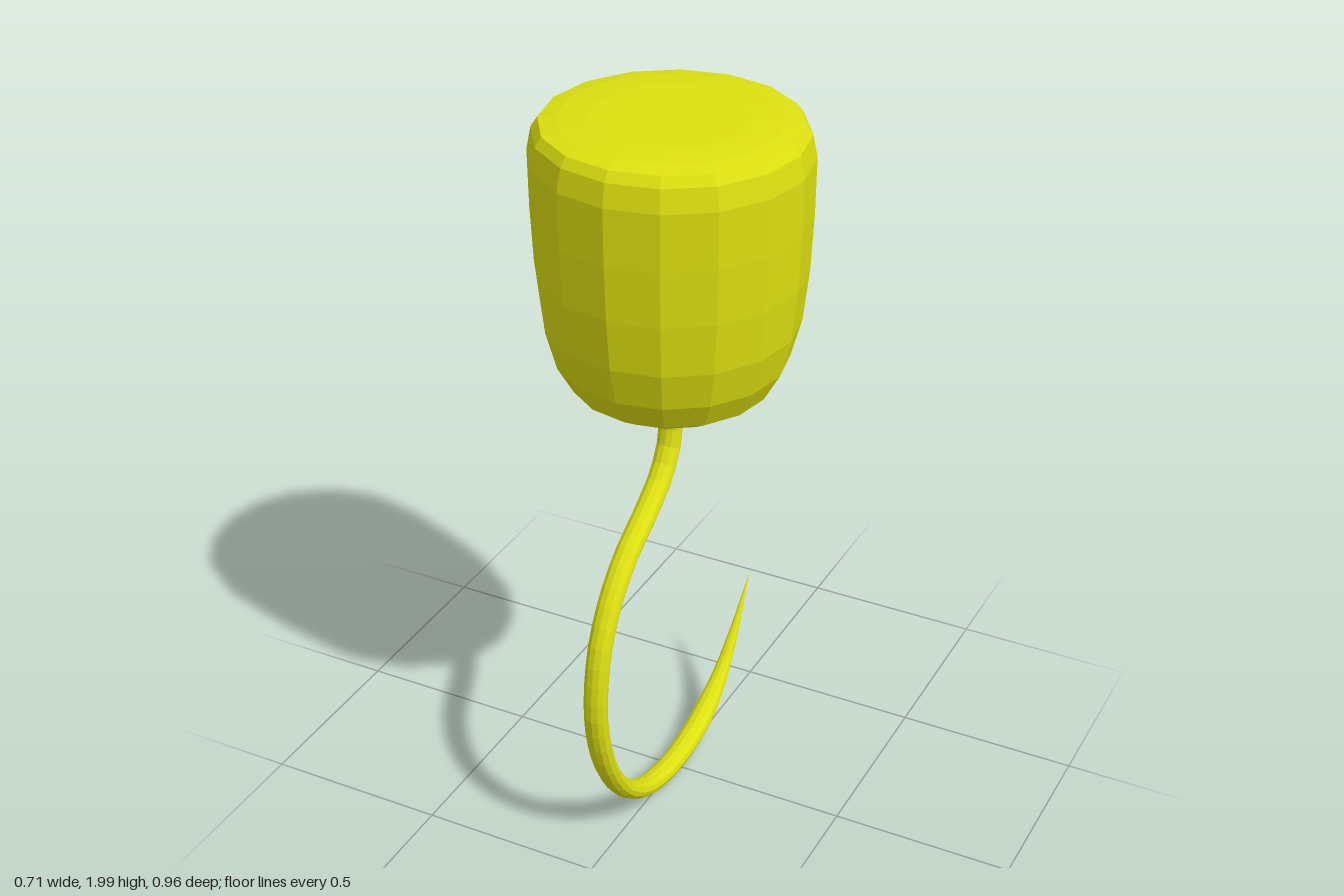
import * as THREE from 'three';

const material = new THREE.MeshStandardMaterial({ color: 0xdde010, flatShading: true });
const CENTRE_Z = 0.02;

// Faceted cup: closed, with a bevelled rim and slightly domed lid
function makeCup() {
  const profile = [
    [0, 1.23], [0.1, 1.23], [0.2, 1.242], [0.26, 1.28], [0.302, 1.355], [0.33, 1.46],
    [0.345, 1.6], [0.352, 1.75], [0.354, 1.9], [0.342, 1.96],
    [0.325, 1.985], [0.28, 1.993], [0.2, 1.998], [0, 2],
  ].map(([r, y]) => new THREE.Vector2(r, y));
  const cup = new THREE.Mesh(new THREE.LatheGeometry(profile, 16), material);
  cup.name = 'cup';
  cup.position.z = CENTRE_Z;
  return cup;
}

// Hook: a tube along a curve in the yz plane, flared at the cup and tapered to a point
function makeHook() {
  const path = [
    [0.022, 1.238], [0.024, 1.18], [0.032, 1.1], [0.08, 1.02], [0.165, 0.955], [0.285, 0.88],
    [0.375, 0.785], [0.432, 0.67], [0.456, 0.5], [0.434, 0.365], [0.385, 0.25],
    [0.305, 0.145], [0.19, 0.067], [0.03, 0.033], [-0.135, 0.053], [-0.275, 0.125],
    [-0.375, 0.228], [-0.482, 0.38],
  ].map(([z, y]) => new THREE.Vector3(0, y, z));
  const curve = new THREE.CatmullRomCurve3(path);
  const steps = 44, sides = 12;
  const geometry = new THREE.TubeGeometry(curve, steps, 1, sides);
  const pos = geometry.attributes.position;
  const p = new THREE.Vector3();
  for (let i = 0; i <= steps; i++) {
    const u = i / steps;
    const centre = curve.getPointAt(u);
    const size = i === 0 ? 1.5 : Math.min(1, (1 - u) / 0.19);
    for (let j = 0; j <= sides; j++) {
      const k = i * (sides + 1) + j;
      p.fromBufferAttribute(pos, k).sub(centre);
      p.set(p.x * 0.033, p.y * 0.026, p.z * 0.026).multiplyScalar(size).add(centre);
      pos.setXYZ(k, p.x, p.y, p.z);
    }
  }
  geometry.computeVertexNormals();
  const hook = new THREE.Mesh(geometry, material);
  hook.name = 'hook';
  return hook;
}

export function createModel() {
  const model = new THREE.Group();
  model.name = 'hookWithCup';
  model.add(makeCup(), makeHook());
  return model;
}
